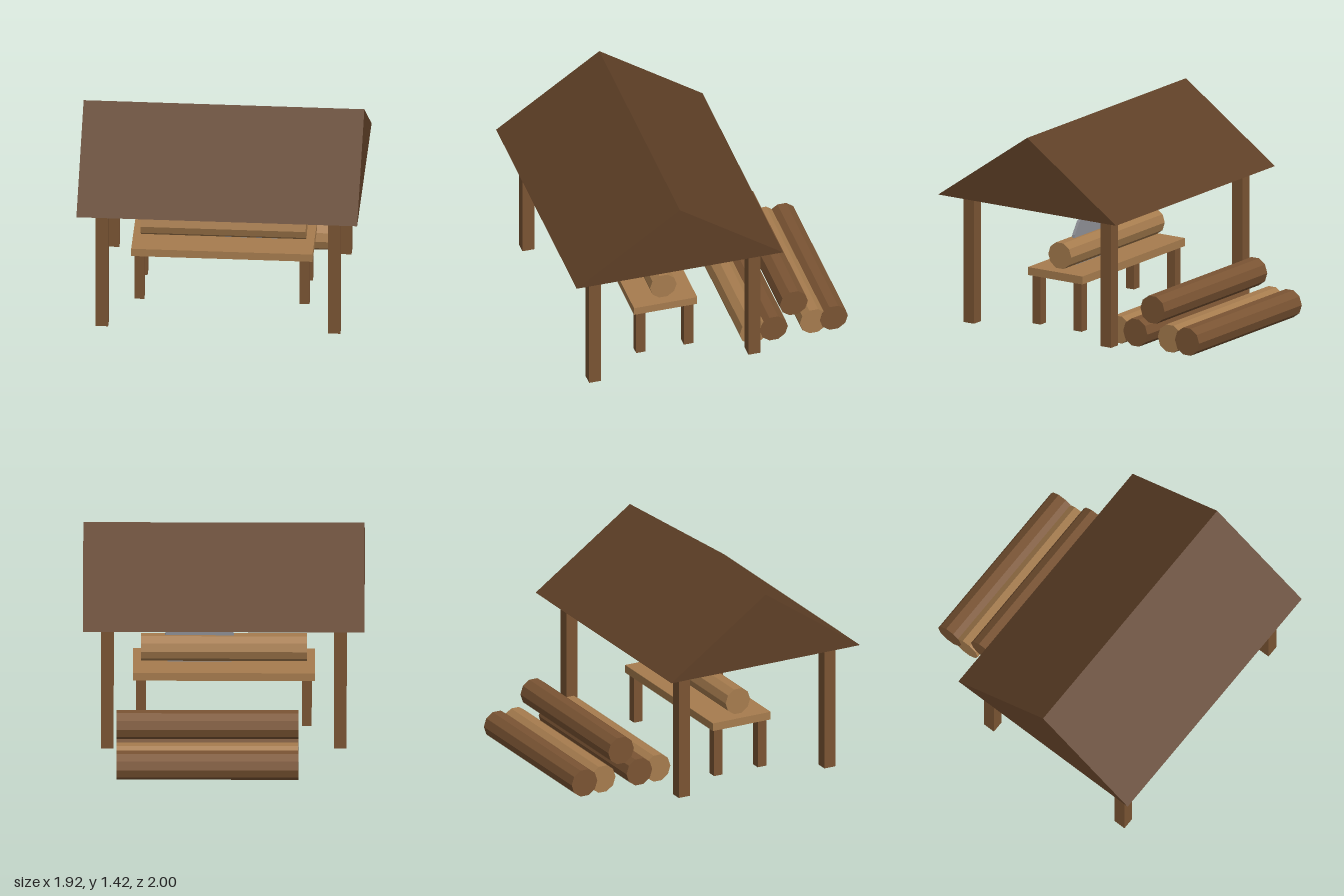
import * as THREE from 'three';

const material = (name, color) => {
  const m = new THREE.MeshStandardMaterial({ color, flatShading: true });
  m.name = name;
  return m;
};

export function createModel() {
  const model = new THREE.Group();
  model.name = 'sawmill';
  const roofBrown = material('roofBrown', 0x5e3f26);
  const darkWood = material('darkWood', 0x7a5433);
  const lightWood = material('lightWood', 0xa67c4e);
  const steel = material('steel', 0x8e8f95);
  const midZ = 0.265; // the shed, table and blade share this centre line

  const add = (name, geometry, mat, x, y, z) => {
    const mesh = new THREE.Mesh(geometry, mat);
    mesh.name = name;
    mesh.position.set(x, y, z);
    model.add(mesh);
    return mesh;
  };

  // Four uprights, standing on the ground
  const addUprights = (name, width, height, dx, dz) => {
    const geometry = new THREE.BoxGeometry(width, height, width);
    for (const sx of [-1, 1]) {
      for (const sz of [-1, 1]) {
        add(name, geometry, darkWood, sx * dx, height / 2, midZ + sz * dz);
      }
    }
  };

  // Ten-sided log lying along x
  const addLog = (name, radius, length, mat, x, y, z) => {
    const geometry = new THREE.CylinderGeometry(radius, radius, length, 10).rotateZ(Math.PI / 2);
    add(name, geometry, mat, x, y, z);
  };

  // Solid gable roof
  const gable = new THREE.Shape([
    new THREE.Vector2(-0.735, 0),
    new THREE.Vector2(0.735, 0),
    new THREE.Vector2(0, 0.51),
  ]);
  const roof = new THREE.ExtrudeGeometry(gable, { depth: 1.92, bevelEnabled: false });
  roof.translate(0, 0, -0.96).rotateY(Math.PI / 2);
  add('roof', roof, roofBrown, 0, 0.908, midZ);
  addUprights('roofPost', 0.086, 0.91, 0.794, 0.567);

  // Saw table
  add('tableTop', new THREE.BoxGeometry(1.24, 0.056, 0.45), lightWood, 0, 0.37, midZ);
  addUprights('tableLeg', 0.067, 0.343, 0.565, 0.17);

  // Blade passing through the table, and the log being cut
  const blade = new THREE.CylinderGeometry(0.25, 0.25, 0.022, 16).rotateX(Math.PI / 2);
  add('sawBlade', blade, steel, 0.167, 0.515, midZ);
  addLog('tableLog', 0.095, 1.13, lightWood, 0, 0.5, midZ);

  // Log pile behind the shed; dark logs are a hair longer so overlapping ends stay clean
  for (let i = 0; i < 5; i++) {
    const light = i === 0 || i === 3;
    addLog('pileLog', 0.1, light ? 1.238 : 1.241, light ? lightWood : darkWood,
      0.11, i === 2 ? 0.287 : 0.104, -0.33 - i * 0.1425);
  }
  return model;
}
